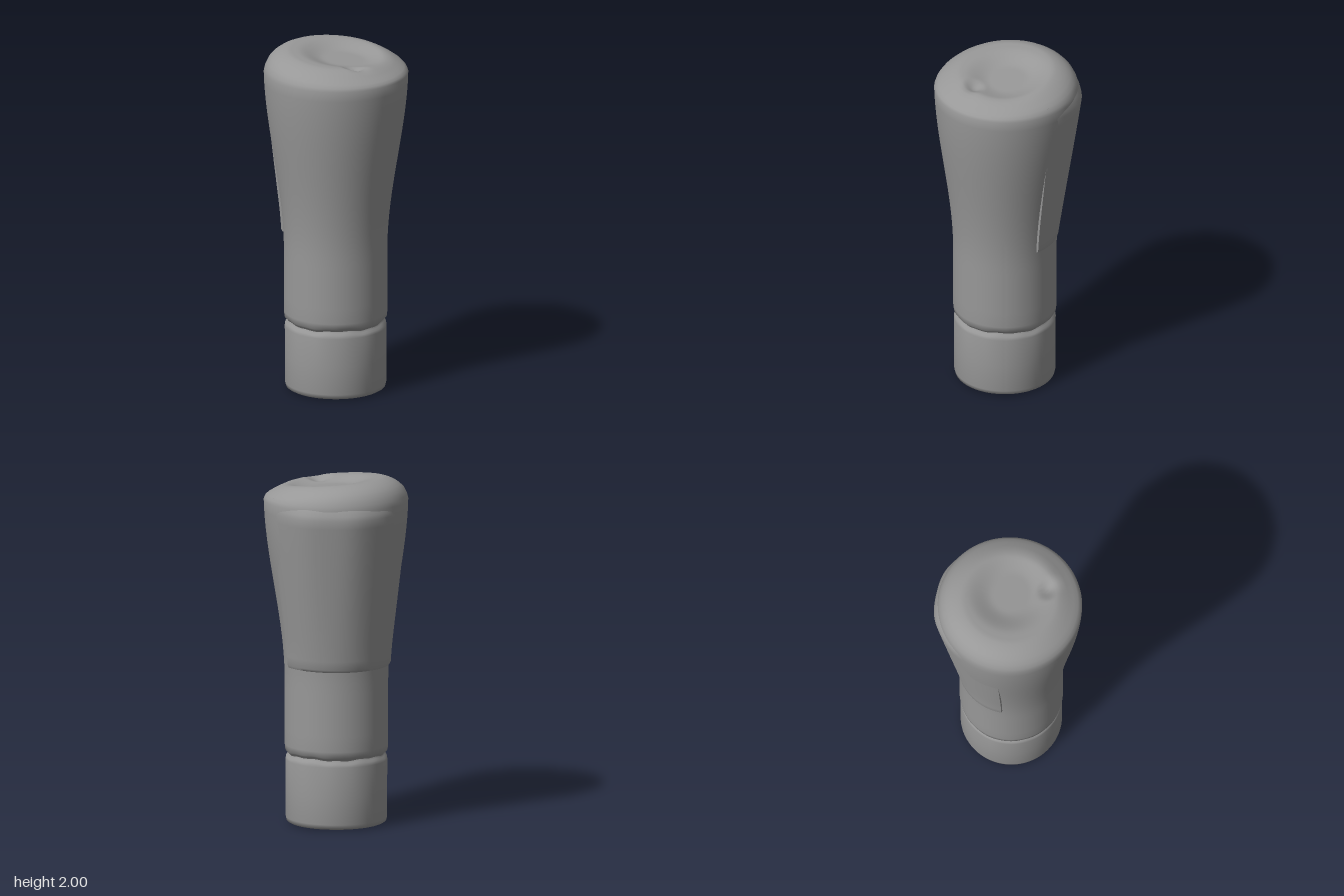
import * as THREE from 'three';
import { mergeVertices, toCreasedNormals } from 'three/addons/utils/BufferGeometryUtils.js';

const V = (r, y) => new THREE.Vector2(r, y);
const smooth = THREE.MathUtils.smoothstep;
const lerp = THREE.MathUtils.lerp;
const deg = THREE.MathUtils.degToRad;

// Radius of the flaring handle at a height, and its slight rearward lean
const handleRadius = (y) => 0.293 + 0.117 * smooth(y, 0.83, 1.92);
const centreZ = (y) => 0.02 - 0.009 * smooth(y, 0.9, 1.8);

// Move every vertex by a rule, then rebuild the normals
function reshape(geo, rule) {
  const p = geo.attributes.position;
  const v = new THREE.Vector3();
  for (let i = 0; i < p.count; i++) {
    v.fromBufferAttribute(p, i);
    rule(v);
    p.setXYZ(i, v.x, v.y, v.z);
  }
  geo.deleteAttribute('normal');
  geo.deleteAttribute('uv');
  return toCreasedNormals(mergeVertices(geo, 1e-5), 0.9);
}

function part(name, geo) {
  const mat = new THREE.MeshStandardMaterial({ color: 0x989898, side: THREE.DoubleSide });
  const mesh = new THREE.Mesh(geo, mat);
  mesh.name = name;
  return mesh;
}

// Base ferrule, groove, flared handle and dished top in one turned profile
function makeHandle() {
  const pts = [V(0, 0.005), V(0.15, 0.005), V(0.268, 0.01), V(0.282, 0.018), V(0.287, 0.04),
    V(0.287, 0.2), V(0.288, 0.37), V(0.285, 0.388), V(0.275, 0.398), V(0.271, 0.408),
    V(0.278, 0.418), V(0.29, 0.428), V(0.293, 0.46)];
  for (let y = 0.55; y < 1.84; y += 0.06) pts.push(V(handleRadius(y), y));
  pts.push(V(0.409, 1.87), V(0.402, 1.893), V(0.386, 1.917), V(0.362, 1.937), V(0.335, 1.954),
    V(0.305, 1.969), V(0.28, 1.977));
  for (let r = 0.265; r > 0.01; r -= 0.015) pts.push(V(r, 1.98));
  pts.push(V(0, 1.98));

  return reshape(new THREE.LatheGeometry(pts, 128), (v) => {
    const a = Math.atan2(v.x, v.z);
    // Uneven groove
    if (v.y > 0.38 && v.y < 0.44) v.y += 0.003 * Math.sin(5 * a) + 0.002 * Math.sin(13 * a + 1);
    // Tilted top with a broad, lopsided dish and a small pit
    const top = smooth(v.y, 1.86, 1.96);
    const dx = v.x - 0.03;
    const dish = 1 - smooth(Math.hypot(dx > 0 ? dx * 0.8 : dx, v.z + 0.01), 0.1, 0.25);
    const pit = 1 - smooth(Math.hypot((v.x - 0.15) * 0.85, v.z - 0.175), 0, 0.075);
    v.y += top * (-0.08 * v.x - 0.04 * v.z - 0.035 * dish - 0.028 * pit);
    v.z += centreZ(v.y);
  });
}

// Raised plate wrapped around the rear, straight-sided and ending in a soft lip
function makeRearPlate() {
  const start = deg(130), end = deg(284);
  const bottom = 0.92, top = 1.82;
  // Profile x holds the relief: 1 = outer face, -1 = sunk into the handle
  const pts = [V(-1, bottom - 0.005), V(0.6, bottom)];
  const rows = 18;
  for (let i = 0; i <= rows; i++) pts.push(V(1, lerp(bottom + 0.015, top, i / rows)));
  pts.push(V(0.65, 1.845), V(0.1, 1.87), V(-1, 1.905));
  const cols = 72;
  const geo = new THREE.LatheGeometry(pts, cols, start, end - start);
  const p = geo.attributes.position;
  for (let c = 0; c <= cols; c++) {
    const a = lerp(start, end, c / cols);
    const edge = c === 0 || c === cols;
    const back = smooth(Math.cos(a - deg(195)), 0.4, 1);
    pts.forEach((q, j) => {
      const body = handleRadius(q.y);
      const t = Math.min(1, (q.y - bottom) / (top - bottom));
      const straight = 0.302 + 0.126 * t;
      // The plate's sides sink into the handle towards the top
      const side = body + 0.012 - 0.017 * smooth(q.y, 1.1, 1.7);
      const outer = lerp(side, straight, back) + 0.003 * back * Math.sin(9 * a) * t;
      const r = lerp(body - 0.02, outer, edge ? 0 : (q.x + 1) / 2);
      p.setXYZ(c * pts.length + j, r * Math.sin(a), q.y, r * Math.cos(a));
    });
  }
  return reshape(geo, (v) => { v.z += centreZ(v.y); });
}

export function createModel() {
  const group = new THREE.Group();
  group.name = 'handle';
  group.add(part('handleBody', makeHandle()), part('rearPlate', makeRearPlate()));
  return group;
}
